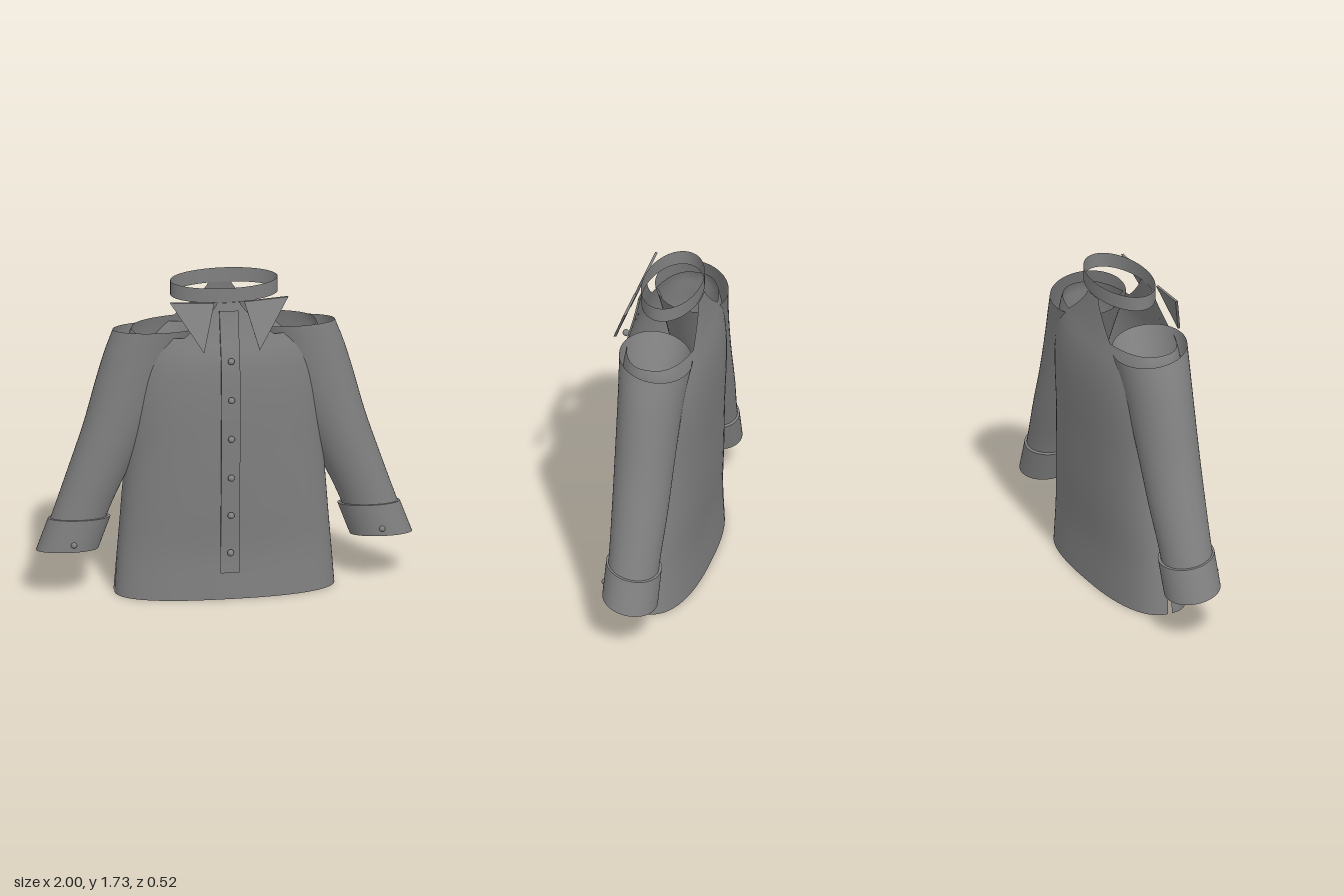
import * as THREE from 'three';
import { toCreasedNormals } from 'three/addons/utils/BufferGeometryUtils.js';

const cloth = new THREE.MeshStandardMaterial({ color: 0x808080, side: THREE.DoubleSide });
cloth.name = 'grey cloth';

// Smooth lookup through rows of [y, ...values]
function profile(rows) {
  const n = rows[0].length - 1;
  const curve = new THREE.CubicInterpolant(rows.map(r => r[0]), rows.flatMap(r => r.slice(1)), n);
  return y => Array.from(curve.evaluate(y));
}

// Grid surface from point(u, v), with u and v in 0..1
function surface(point, nu, nv) {
  const pos = [], index = [];
  for (let j = 0; j <= nv; j++) for (let i = 0; i <= nu; i++) pos.push(...point(i / nu, j / nv));
  for (let j = 0; j < nv; j++) for (let i = 0; i < nu; i++) {
    const a = j * (nu + 1) + i, b = a + 1, c = a + nu + 1, d = c + 1;
    index.push(a, b, d, a, d, c);
  }
  const g = new THREE.BufferGeometry();
  g.setAttribute('position', new THREE.Float32BufferAttribute(pos, 3));
  g.setIndex(index);
  return toCreasedNormals(g, 0.8);
}

function add(parent, name, geometry) {
  const mesh = new THREE.Mesh(geometry, cloth);
  mesh.name = name;
  parent.add(mesh);
  return mesh;
}

// Torso rows: y, half width, front z, back z
const torso = profile([
  [0, 0.585, 0.185, -0.235], [0.25, 0.565, 0.178, -0.228], [0.5, 0.545, 0.192, -0.24],
  [0.8, 0.525, 0.205, -0.25], [1.2, 0.525, 0.21, -0.26], [1.35, 0.51, 0.198, -0.245],
  [1.47, 0.49, 0.168, -0.215], [1.57, 0.38, 0.145, -0.195], [1.65, 0.285, 0.132, -0.182],
]);
const POWER = 2.5, YOKE = 1.47, NECK = 1.65;
const bend = t => Math.sign(t) * Math.abs(t) ** (2 / POWER);

// Sleeve rows: y, centre x, centre z, half width, half depth
const sleeve = profile([
  [0.26, 0.832, -0.022, 0.152, 0.133], [0.45, 0.768, -0.025, 0.148, 0.133],
  [0.7, 0.668, -0.028, 0.162, 0.145], [0.95, 0.566, -0.026, 0.182, 0.155],
  [1.2, 0.47, -0.026, 0.21, 0.166], [1.35, 0.41, -0.028, 0.225, 0.177],
  [1.47, 0.355, -0.03, 0.235, 0.19],
]);

// Ring point on a sleeve, raised towards the front
function ring(u, y, [cx, cz, rx, rz]) {
  const a = u * Math.PI * 2, dz = -Math.sin(a) * rz;
  return [cx + Math.cos(a) * rx, y + 0.2 * dz, cz + dz];
}

function buildBody(group) {
  const body = new THREE.Group();
  body.name = 'body';
  group.add(body);

  for (const front of [true, false]) {
    const label = front ? 'front' : 'back';
    // Half of the torso, with a small side vent at the hem
    add(body, label + 'Panel', surface((u, v) => {
      const y = v * YOKE, [rx, f, b] = torso(y);
      const gap = 0.03 * Math.max(0, 1 - y / 0.22);
      const a = (front ? Math.PI : 0) + gap + u * (Math.PI - 2 * gap);
      return [rx * bend(Math.cos(a)), y, (f + b) / 2 - (f - b) / 2 * bend(Math.sin(a))];
    }, 40, 44));

    // Narrowing panel from the armholes up to the collar
    add(body, label + 'Yoke', surface((u, v) => {
      const y = YOKE + v * (NECK - YOKE), [rx, f, b] = torso(y);
      const half = 0.06 + 0.18 * (1 - v) ** 1.3;
      const s = front ? 1 : -1, x = s * (2 * u - 1) * half;
      const depth = (f - b) / 2 * (1 - (Math.abs(x) / rx) ** POWER) ** (1 / POWER);
      return [x, y, (f + b) / 2 + s * depth];
    }, 16, 10));
  }
}

function buildCollar(group) {
  // Standing neck band
  add(group, 'collarBand', surface((u, v) => {
    const a = u * Math.PI * 2;
    return [0.285 * Math.cos(a), 1.65 + 0.08 * v, -0.025 - 0.155 * Math.sin(a)];
  }, 64, 1));

  // Pointed collar wings, sloping outwards towards the tip
  const wing = new THREE.Shape([[0.08, 1.662], [0.148, 1.42], [0.315, 1.675]].map(p => new THREE.Vector2(...p)));
  for (const s of [1, -1]) {
    const g = new THREE.ExtrudeGeometry(wing, { depth: 0.014, bevelEnabled: false });
    const p = g.attributes.position;
    for (let i = 0; i < p.count; i++) p.setZ(i, p.getZ(i) + 0.145 + (1.675 - p.getY(i)) * 0.39);
    g.computeVertexNormals();
    add(group, s > 0 ? 'leftCollarWing' : 'rightCollarWing', g).scale.x = s;
  }
}

function buildPlacket(group) {
  // Strip following the chest, with its edges turned back
  const section = [[-0.05, 0], [-0.05, 0.014], [0.05, 0.014], [0.05, 0]];
  add(group, 'placket', surface((u, v) => {
    const y = 0.15 + 1.46 * v, [x, dz] = section[Math.round(u * 3)];
    return [x, y, torso(y)[1] + dz];
  }, 3, 40));

  for (const y of [1.355, 1.14, 0.92, 0.7, 0.485, 0.27]) {
    const button = add(group, 'button', new THREE.SphereGeometry(0.018, 16, 12));
    button.position.set(0, y, torso(y)[1] + 0.034);
  }
}

function buildArm(group, s) {
  const arm = new THREE.Group();
  arm.name = s > 0 ? 'leftArm' : 'rightArm';
  arm.scale.x = s;
  group.add(arm);

  add(arm, 'sleeve', surface((u, v) => {
    const y = 0.26 + 1.21 * v;
    return ring(u, y, sleeve(y));
  }, 48, 36));

  // Turned cuff: inner lip, outer wall, top ledge
  const low = [0.835, -0.022], high = [0.77, -0.025];
  const rows = [
    [0.265, [...low, 0.15, 0.131]], [0.255, [...low, 0.165, 0.145]],
    [0.43, [...high, 0.165, 0.145]], [0.432, [...high, 0.147, 0.131]],
  ];
  add(arm, 'cuff', surface((u, v) => ring(u, ...rows[Math.round(v * 3)]), 48, 3));

  const button = add(arm, 'cuffButton', new THREE.SphereGeometry(0.016, 16, 12));
  button.position.set(0.82, 0.325, 0.122);
}

export function createModel() {
  const group = new THREE.Group();
  group.name = 'shirt';
  buildBody(group);
  buildCollar(group);
  buildPlacket(group);
  for (const s of [1, -1]) buildArm(group, s);
  return group;
}
